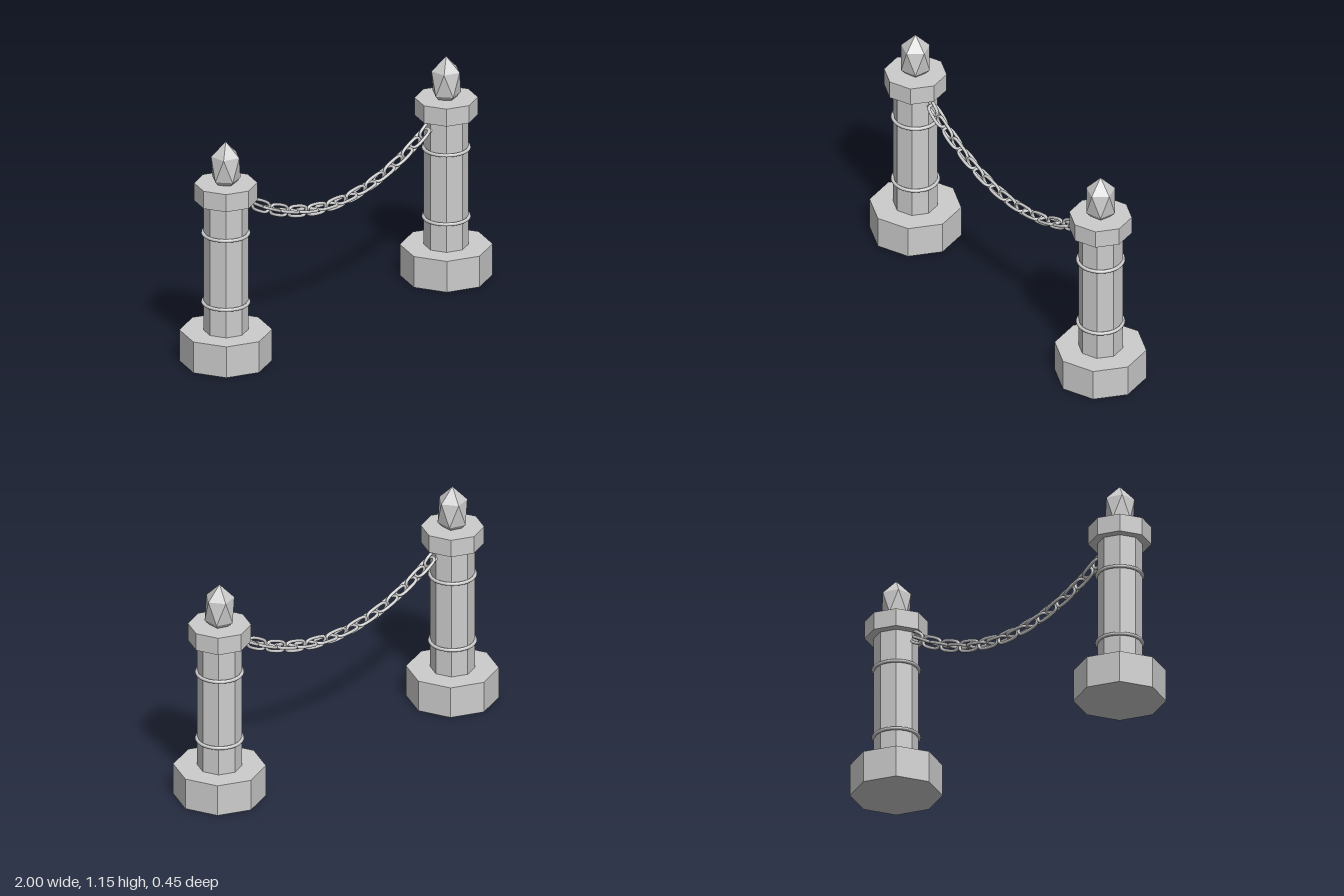
import * as THREE from 'three';

const stone = new THREE.MeshStandardMaterial({ color: 0xcccccc });
stone.name = 'pale grey';

function part(name, geometry, y = 0) {
  const mesh = new THREE.Mesh(geometry, stone);
  mesh.name = name;
  mesh.position.y = y;
  return mesh;
}

// Eight-sided block with sharp faces, from y0 to y1
function octagon(name, radius, y0, y1) {
  const g = new THREE.CylinderGeometry(radius, radius, y1 - y0, 8).toNonIndexed();
  g.computeVertexNormals();
  return part(name, g, (y0 + y1) / 2);
}

function createPost(name, x) {
  const post = new THREE.Group();
  post.name = name;
  post.position.x = x;
  post.add(
    octagon('base', 0.227, 0, 0.163),
    octagon('shaft', 0.11, 0.163, 0.845),
    octagon('cap', 0.155, 0.845, 0.937)
  );
  // Smooth bands round the shaft
  for (const y of [0.311, 0.675]) {
    const ring = new THREE.TorusGeometry(0.112, 0.009, 8, 32).rotateX(Math.PI / 2);
    post.add(part('band', ring, y));
  }
  // Faceted finial: a stretched icosahedron standing on one corner
  const golden = (1 + Math.sqrt(5)) / 2;
  const finial = new THREE.IcosahedronGeometry(1, 0)
    .rotateZ(-Math.atan(1 / golden))
    .scale(0.082, 0.134, 0.082);
  post.add(part('finial', finial, 1.02));
  return post;
}

// One long oval link, lying along x
function linkGeometry() {
  const points = [];
  const r = 0.024, straight = 0.04;
  for (const side of [1, -1]) {
    for (let i = 0; i <= 4; i++) {
      const a = -Math.PI / 2 + (i * Math.PI) / 4;
      points.push(new THREE.Vector3(side * (straight + r * Math.cos(a)), side * r * Math.sin(a), 0));
    }
  }
  const path = new THREE.CatmullRomCurve3(points, true);
  return new THREE.TubeGeometry(path, 32, 0.008, 8, true);
}

function createChain() {
  const chain = new THREE.Group();
  chain.name = 'chain';
  const geometry = linkGeometry();
  const pitch = 0.0685;
  for (let i = -10; i <= 10; i++) {
    // Position on the sagging curve at equal lengths along it
    const s = i * pitch;
    const x = s - (s * s * s) / 6 + (s ** 5 * 13) / 120;
    const link = part('chainLink', geometry);
    link.position.set(x, 0.605 + 0.5 * x * x, 0);
    // Every other link is turned a quarter about the chain
    link.rotation.set(i % 2 ? Math.PI / 2 : 0, 0, Math.atan(x), 'ZYX');
    chain.add(link);
  }
  return chain;
}

export function createModel() {
  const model = new THREE.Group();
  model.name = 'chainBarrier';
  model.add(createPost('leftPost', 0.773), createPost('rightPost', -0.773), createChain());
  return model;
}
